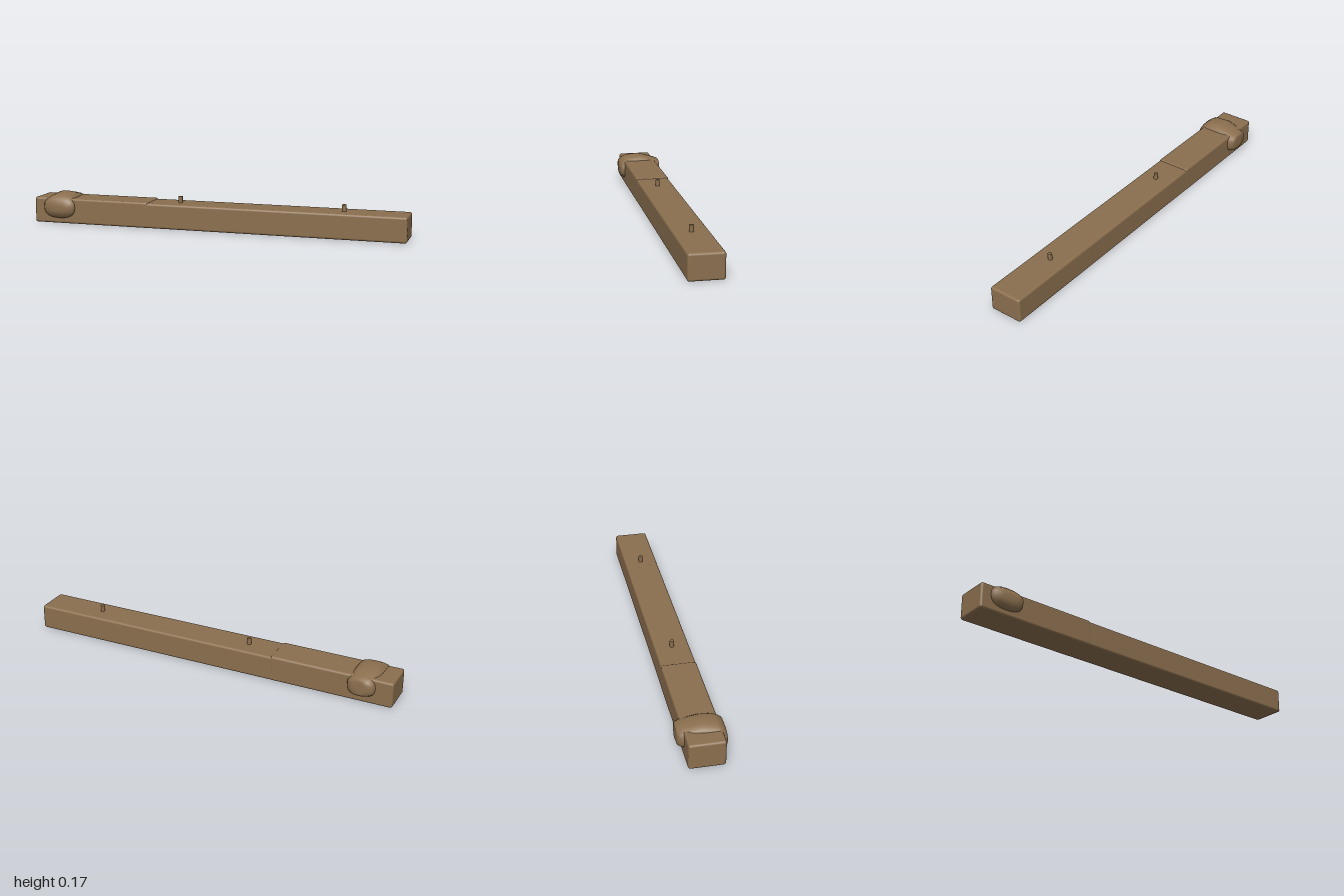
import * as THREE from 'three';
import { RoundedBoxGeometry } from 'three/addons/geometries/RoundedBoxGeometry.js';

// Lumpy wrap lofted along z; each section is [z, xMin, xMax, yMin, yMax]
function wrapGeometry() {
  const sections = [
    [-0.116, -0.86, -0.80, 0.055, 0.125],
    [-0.112, -0.90, -0.775, 0.045, 0.133],
    [-0.086, -0.912, -0.765, 0.033, 0.142],
    [-0.05, -0.922, -0.77, 0.05, 0.152],
    [0, -0.925, -0.774, 0.06, 0.164],
    [0.07, -0.932, -0.77, 0.04, 0.157],
    [0.09, -0.947, -0.766, 0.028, 0.146],
    [0.11, -0.935, -0.775, 0.042, 0.131],
    [0.116, -0.89, -0.81, 0.065, 0.105],
  ];
  const sides = 20, pos = [], index = [];
  const soften = (v) => Math.sign(v) * Math.abs(v) ** 0.8;
  for (const [z, x0, x1, y0, y1] of sections) {
    for (let i = 0; i < sides; i++) {
      const a = (i / sides) * Math.PI * 2;
      const u = soften(Math.cos(a)), v = soften(Math.sin(a));
      pos.push((x0 + x1) / 2 + (u * (x1 - x0)) / 2, (y0 + y1) / 2 + (v * (y1 - y0)) / 2, z);
    }
  }
  for (let s = 0; s < sections.length - 1; s++) {
    for (let i = 0; i < sides; i++) {
      const a = s * sides + i, b = s * sides + ((i + 1) % sides);
      index.push(a, b, a + sides, b, b + sides, a + sides);
    }
  }
  // End caps
  const last = (sections.length - 1) * sides;
  for (let i = 1; i < sides - 1; i++) {
    index.push(0, i + 1, i, last, last + i, last + i + 1);
  }
  const geometry = new THREE.BufferGeometry();
  geometry.setAttribute('position', new THREE.Float32BufferAttribute(pos, 3));
  geometry.setIndex(index);
  geometry.computeVertexNormals();
  return geometry;
}

export function createModel() {
  const group = new THREE.Group();
  const wood = new THREE.MeshStandardMaterial({ color: 0x8b6f4e });
  wood.name = 'brown wood';

  const add = (name, geometry, x, y, z) => {
    const mesh = new THREE.Mesh(geometry, wood);
    mesh.name = name;
    mesh.position.set(x, y, z);
    group.add(mesh);
  };

  // Long beam, running into the slightly taller end sleeve
  add('beam', new RoundedBoxGeometry(1.4, 0.131, 0.176, 4, 0.012), 0.3, 0.0655, 0.002);
  add('endSleeve', new RoundedBoxGeometry(0.645, 0.136, 0.178, 4, 0.012), -0.6775, 0.068, 0.002);

  // Wrap around the sleeve
  add('wrap', wrapGeometry(), 0, 0, 0);

  // Upright pins
  for (const x of [-0.2, 0.67]) {
    add('pin', new THREE.CylinderGeometry(0.011, 0.011, 0.05, 16), x, 0.14, 0.002);
  }
  return group;
}
